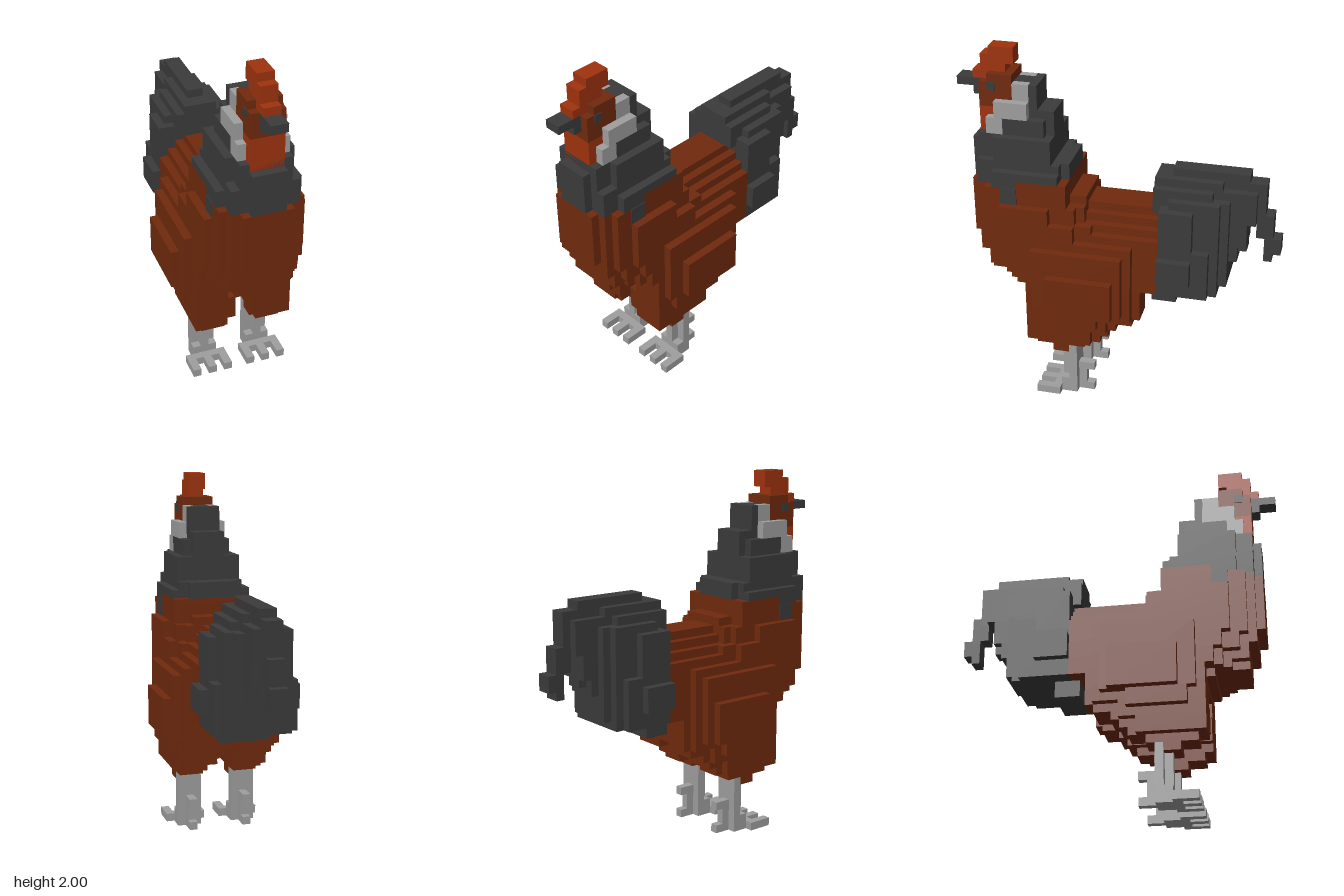
import * as THREE from 'three';
import { mergeGeometries } from 'three/addons/utils/BufferGeometryUtils.js';

const U = 2 / 44; // size of one block

const mat = (name, color) => {
  const m = new THREE.MeshStandardMaterial({ color });
  m.name = name;
  return m;
};

// box from block coordinates
function block(x0, x1, y0, y1, z0, z1) {
  const g = new THREE.BoxGeometry((x1 - x0) * U, (y1 - y0) * U, (z1 - z0) * U);
  g.translate((x0 + x1) / 2 * U, (y0 + y1) / 2 * U, (z0 + z1) / 2 * U);
  return g;
}

// centred slab: rows of [bottom, top, back, front], all with one half width
const slab = (w, rows) => rows.map(([y0, y1, z0, z1]) => block(-w, w, y0, y1, z0, z1));

// mirrored pair: boxes from x0 to x1 on both sides
const pair = (x0, x1, rows) => rows.flatMap(([y0, y1, z0, z1]) =>
  [block(x0, x1, y0, y1, z0, z1), block(-x1, -x0, y0, y1, z0, z1)]);

export function createModel() {
  const model = new THREE.Group();
  const brown = mat('brown feathers', 0x702a0d);
  const dark = mat('dark feathers', 0x3b3b3b);
  const grey = mat('light grey', 0x9e9e9e);
  const red = mat('comb red', 0x9e330e);

  const add = (name, material, ...lists) => {
    const mesh = new THREE.Mesh(mergeGeometries(lists.flat()), material);
    mesh.name = name;
    model.add(mesh);
  };

  // body, from the narrow ridge out to the wide flanks
  add('body', brown,
    slab(2, [[12, 14, -2.5, 9.5], [14, 16, -3.5, 10.5], [16, 26, -5.5, 15.5], [26, 27, 3.5, 15.5]]),
    slab(3, [[16, 25, -5.5, 15.5], [21, 28, 5.5, 17.5], [25, 27, 3.5, 15.5]]),
    slab(4, [[14, 15, -3.5, 10.5], [15, 16, -3.5, 11.5], [16, 17, -5.5, 13.5], [17, 19, -5.5, 15.5],
      [19, 24, -5.5, 16.5], [24, 26, 3.5, 16.5], [26, 28, 5.5, 16.5]]),
    slab(5, [[14, 16, -3.5, 10.5], [16, 18, -5.5, 12.5], [18, 20, -5.5, 14.5], [20, 23, -5.5, 15.5],
      [23, 24, 2.5, 15.5], [24, 26, 4.5, 15.5], [26, 28, 5.5, 15.5], [28, 29, 5.5, 11.5]]),
    slab(6, [[14, 16, -2.5, 10.5], [16, 18, -2.5, 11.5], [18, 20, -2.5, 12.5], [20, 22, -2.5, 13.5],
      [22, 24, 4.5, 13.5], [24, 26, 7.5, 13.5]]));

  add('wings', brown,
    pair(5, 7, [[11, 13, 1.5, 8.5], [13, 21, -1.5, 9.5]]),
    pair(6, 8, [[13, 18, -0.5, 7.5]]));

  add('thighs', brown,
    pair(2, 5, [[6, 7, 5.5, 7.5], [7, 8, 3.5, 9.5], [8, 9, 1.5, 10.5]]),
    pair(1, 5, [[9, 10, 0.5, 10.5], [10, 11, -0.5, 10.5], [11, 12, -2.5, 10.5]]),
    pair(2, 5, [[12, 14, -3.5, 10.5]]),
    pair(5, 6, [[8, 10, 2.5, 10.5], [10, 12, 0.5, 10.5], [12, 14, -2.5, 10.5]]));

  // neck hackles
  add('neck', dark,
    slab(1, [[37, 40, 9.5, 12.5]]),
    slab(2, [[28, 29, 11.5, 17.5], [29, 31, 5.5, 17.5], [31, 33, 7.5, 17.5], [33, 37, 7.5, 14.5], [37, 40, 9.5, 10.5]]),
    slab(3, [[28, 29, 11.5, 16.5], [29, 31, 5.5, 16.5], [31, 34, 7.5, 16.5], [34, 36, 8.5, 13.5]]),
    slab(4, [[28, 29, 11.5, 16.5], [29, 31, 6.5, 16.5], [31, 34, 7.5, 14.5]]),
    slab(5, [[28, 29, 11.5, 14.5], [29, 30, 6.5, 14.5]]),
    // dark tips hanging over the breast sides
    pair(5, 5.1, [[26, 28, 11.5, 13.5]]));

  // head
  add('head', brown, slab(2, [[37, 40, 12.5, 16.5], [40, 41, 12.5, 15.5]]));
  add('comb', red, slab(1, [[40, 41, 15.5, 17.5], [41, 43, 13.5, 16.5], [42, 44, 12.5, 15.5]]));
  add('wattle', red, slab(2, [[33, 37, 14.5, 16.5]]));
  add('beak', dark, slab(1, [[39, 40, 16.5, 19.5], [38, 39, 16.5, 17.5]]));
  add('eyes', dark, pair(2, 2.1, [[39, 40, 14.5, 15.5]]));
  add('earFeathers', grey,
    pair(1, 2, [[38, 40, 10.5, 12.5]]),
    pair(2, 3, [[36, 38, 10.5, 14.5], [34, 36, 13.5, 15.5]]));

  // tail, with a drooping hook at the tip
  add('tail', dark,
    slab(1, [[16, 17, -12.5, -5.5], [17, 20, -13.5, -5.5], [20, 21, -14.5, -5.5], [21, 25, -15.5, -5.5],
      [25, 30, -17.5, -4.5], [30, 31, -15.5, -6.5], [26, 30, -17.5, -4.5], [23, 25, -17.5, -16.5],
      [23, 26, -18.5, -16.5], [20, 23, -18.5, -17.5], [21, 23, -19.5, -17.5]]),
    slab(2, [[16, 17, -12.5, -5.5], [17, 20, -13.5, -5.5], [20, 22, -14.5, -5.5], [22, 25, -15.5, -5.5],
      [25, 29, -16.5, -5.5], [26, 30, -12.5, -4.5]]),
    slab(3, [[14, 16, -7.5, -4.5], [16, 17, -12.5, -5.5], [17, 25, -13.5, -5.5], [25, 28, -13.5, -5.5],
      [26, 29, -11.5, -4.5]]),
    slab(4, [[16, 24, -12.5, -5.5], [24, 28, -12.5, -6.5]]),
    slab(5, [[16, 22, -11.5, -5.5], [22, 27, -9.5, -5.5]]),
    slab(6, [[18, 21, -9.5, -5.5]]));

  // legs and feet
  add('legs', grey,
    pair(2, 5, [[1, 7, 4.5, 5.5], [1, 2, 4.5, 6.5]]),
    pair(3, 4, [[1, 6, 4.5, 6.5], [1, 4, 3.5, 4.5], [3, 4, 2.5, 3.5]]));
  add('feet', grey,
    pair(2, 5, [[0, 1, 4.5, 7.5]]),
    pair(3, 4, [[0, 1, 2.5, 9.5]]),
    pair(1, 2, [[0, 1, 6.5, 9.5]]),
    pair(5, 6, [[0, 1, 6.5, 9.5]]));

  return model;
}
